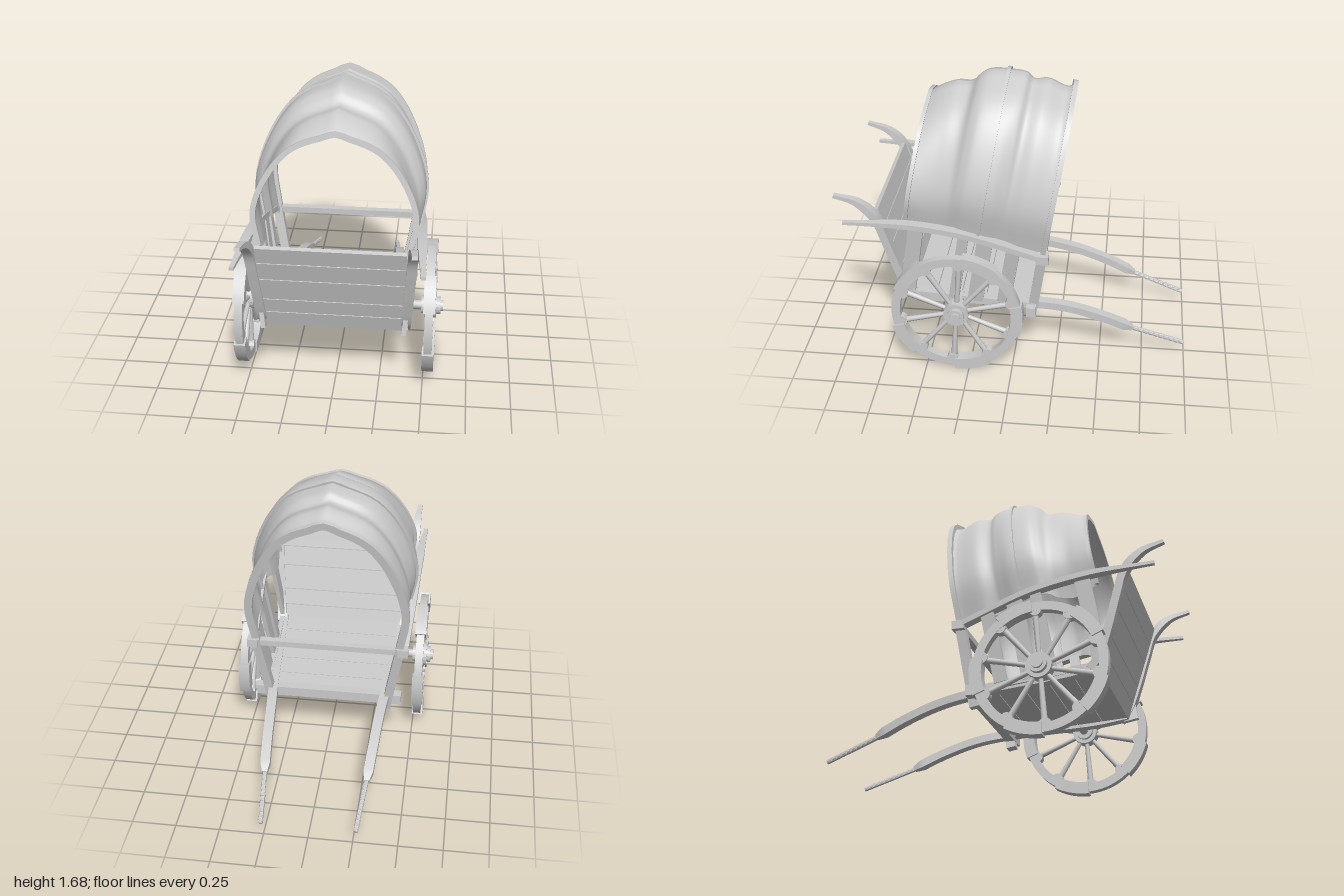
import * as THREE from 'three';

const mat = new THREE.MeshStandardMaterial({ color: 0xcccccc });
const clothMat = new THREE.MeshStandardMaterial({ color: 0xcccccc, side: THREE.DoubleSide });
const V = (x, y, z) => new THREE.Vector3(x, y, z);

function add(parent, name, geometry, x = 0, y = 0, z = 0, material = mat) {
  const m = new THREE.Mesh(geometry, material);
  m.name = name;
  m.position.set(x, y, z);
  parent.add(m);
  return m;
}

// Rectangular bar swept along points; w is measured along `side`, h across it.
// w and h may be numbers or functions of t.
function bar(points, w, h, segments = 16, side = V(1, 0, 0)) {
  const curve = new THREE.CatmullRomCurve3(points);
  const g = new THREE.BoxGeometry(1, 1, 1, 1, 1, segments);
  const p = g.attributes.position;
  const val = (f, t) => (typeof f === 'function' ? f(t) : f);
  for (let i = 0; i < p.count; i++) {
    const t = p.getZ(i) + 0.5;
    const T = curve.getTangent(t);
    const S = side.clone().addScaledVector(T, -side.dot(T)).normalize();
    const U = T.clone().cross(S);
    const q = curve.getPoint(t)
      .addScaledVector(S, p.getX(i) * val(w, t))
      .addScaledVector(U, p.getY(i) * val(h, t));
    p.setXYZ(i, q.x, q.y, q.z);
  }
  g.computeVertexNormals();
  return g;
}

// Canvas cover: cross-sections front to back as [apex z, apex y, base y, half width]
const LEAN = 0.16;
const sections = [
  [0.512, 1.515, 0.89, 0.44], [0.437, 1.56, 0.85, 0.435], [0.357, 1.59, 0.83, 0.43],
  [0.276, 1.59, 0.84, 0.44], [0.222, 1.64, 0.86, 0.46], [0.169, 1.665, 0.86, 0.478],
  [0.035, 1.665, 0.83, 0.478], [-0.035, 1.655, 0.80, 0.457], [-0.072, 1.62, 0.78, 0.447],
  [-0.153, 1.625, 0.77, 0.46], [-0.26, 1.58, 0.75, 0.45], [-0.303, 1.595, 0.74, 0.45],
];
const apexCurve = new THREE.CatmullRomCurve3(sections.map(s => V(s[0], s[1], 0)));
const baseCurve = new THREE.CatmullRomCurve3(sections.map(s => V(s[2], s[3], 0)));
const archCurve = new THREE.CatmullRomCurve3(
  [[0.93, 0], [1, 0.3], [0.83, 0.62], [0.53, 0.86], [0, 1]].map(([x, y]) => V(x, y, 0)));

function coverPoint(u, v) { // u: -1..1 across, v: 0..1 front to back
  const a = apexCurve.getPoint(v), b = baseCurve.getPoint(v);
  const c = archCurve.getPoint(1 - Math.abs(u));
  const y = b.x + (a.y - b.x) * c.y;
  return V(Math.sign(u) * c.x * b.y, y, a.x + LEAN * (a.y - y));
}

function buildCover(group) {
  const g = new THREE.PlaneGeometry(2, 1, 40, 66);
  const p = g.attributes.position;
  for (let i = 0; i < p.count; i++) {
    const q = coverPoint(p.getX(i), p.getY(i) + 0.5);
    p.setXYZ(i, q.x, q.y, q.z);
  }
  // the sheet runs front to back, so flip it to face outward
  const idx = g.index.array;
  for (let i = 0; i < idx.length; i += 3) [idx[i], idx[i + 1]] = [idx[i + 1], idx[i]];
  g.computeVertexNormals();
  add(group, 'canvasCover', g, 0, 0, 0, clothMat);

  [['frontHoop', 0, 0.022, 0.03], ['middleHoop', 5.75 / 11, 0.02, 0.025], ['rearHoop', 1, 0.028, 0.045]]
    .forEach(([name, v, w, h]) => {
      const pts = [];
      for (let i = 0; i <= 24; i++) pts.push(coverPoint(i / 12 - 1, v));
      add(group, name, bar(pts, w, h, 48, V(0, LEAN, 1)));
    });
}

// Arc-shaped felloe centred on the wheel
function felloe(r0, r1, a0, a1, depth) {
  const s = new THREE.Shape();
  s.absarc(0, 0, r1, a0, a1, false);
  s.absarc(0, 0, r0, a1, a0, true);
  return new THREE.ExtrudeGeometry(s, { depth, bevelEnabled: false, curveSegments: 10 })
    .translate(0, 0, -depth / 2);
}

function buildWheel(side) {
  const wheel = new THREE.Group();
  wheel.name = side > 0 ? 'leftWheel' : 'rightWheel';
  const rad = THREE.MathUtils.degToRad;
  for (let i = 0; i < 5; i++) {
    const mid = 4 + i * 72;
    add(wheel, 'felloe', felloe(0.322, 0.372, rad(mid - 21), rad(mid + 21), 0.045));
    add(wheel, 'ironBoundFelloe', felloe(0.315, 0.384, rad(mid + 20), rad(mid + 52), 0.065));
    // rounded swellings where the felloes meet
    [-17, 17].forEach(d => {
      const a = rad(mid + d);
      const g = new THREE.CylinderGeometry(0.034, 0.034, 0.043, 14).rotateX(Math.PI / 2);
      add(wheel, 'felloeJoint', g, 0.328 * Math.cos(a), 0.328 * Math.sin(a), 0);
    });
  }
  for (let i = 0; i < 10; i++) {
    const a = rad(22 + i * 36);
    const g = new THREE.CylinderGeometry(0.018, 0.013, 0.28, 8).translate(0, 0.19, 0);
    add(wheel, 'spoke', g).rotation.z = a - Math.PI / 2;
  }
  // hub profile, outer end up
  const hub = [[0, -0.05], [0.05, -0.05], [0.05, -0.03], [0.072, -0.03], [0.072, 0.035],
    [0.05, 0.035], [0.05, 0.06], [0.032, 0.06], [0.032, 0.075], [0, 0.075]]
    .map(([r, y]) => new THREE.Vector2(r, y));
  const hubMesh = add(wheel, 'hub', new THREE.LatheGeometry(hub, 20).toNonIndexed());
  hubMesh.geometry.computeVertexNormals();
  hubMesh.rotation.x = -side * Math.PI / 2;
  wheel.rotation.y = -Math.PI / 2;
  wheel.position.set(side * 0.527, 0.386, 0.317);
  return wheel;
}

function buildSide(group, s) {
  const path = list => list.map(([x, y, z]) => V(s * x, y, z));
  const smooth = THREE.MathUtils.smoothstep;

  // long pulling shaft with a slim bound grip
  const shaft = path([[0.385, 0.41, 0.6], [0.375, 0.385, 0.42], [0.345, 0.36, -0.02], [0.322, 0.327, -0.29],
    [0.308, 0.263, -0.5], [0.293, 0.18, -0.69]]);
  add(group, 'shaft', bar(shaft, t => 0.055 - 0.025 * smooth(t, 0.95, 1), t => 0.045 - 0.02 * smooth(t, 0.95, 1), 40));
  const a = V(s * 0.293, 0.182, -0.68), b = V(s * 0.265, 0.073, -0.995);
  add(group, 'shaftGrip', bar([a, b], 0.02, 0.02, 1));
  const dir = b.clone().sub(a).normalize();
  for (let i = 0; i < 10; i++) {
    const c = a.clone().lerp(b, 0.08 + i * 0.097);
    const ring = add(group, 'gripBinding', new THREE.CylinderGeometry(0.014, 0.012, 0.022, 8), c.x, c.y, c.z);
    ring.quaternion.setFromUnitVectors(V(0, 1, 0), dir);
  }

  // curved top rail
  const rail = path([[0.495, 0.925, 0.945], [0.475, 0.917, 0.57], [0.465, 0.865, 0.25],
    [0.45, 0.777, -0.02], [0.44, 0.72, -0.18]]);
  add(group, 'topRail', bar(rail, t => 0.025 + 0.03 * smooth(t, 0, 0.25), t => 0.018 + 0.014 * smooth(t, 0, 0.3), 28));

  // curved arm holding the end board
  const arm = path([[0.45, 1.07, 0.997], [0.442, 1.03, 0.87], [0.435, 0.935, 0.775], [0.425, 0.783, 0.722],
    [0.412, 0.595, 0.665], [0.402, 0.45, 0.61], [0.395, 0.395, 0.56]]);
  add(group, 'endArm', bar(arm, t => 0.03 + 0.025 * smooth(t, 0, 0.3), t => 0.02 + 0.025 * smooth(t, 0, 0.3), 36));
  add(group, 'armPeg', new THREE.CylinderGeometry(0.01, 0.01, 0.02, 10).rotateX(Math.PI / 2), s * 0.404, 0.44, 0.64);

  // leaning side slats: top z, top y, width
  [[0.54, 0.91, 0.085], [0.275, 0.865, 0.06], [0.155, 0.83, 0.09], [0.0, 0.775, 0.075]].forEach(([z, y, w]) => {
    const bottom = V(s * 0.39, 0.385, z + LEAN * (y - 0.385));
    add(group, 'sideSlat', bar([bottom, V(s * 0.45, y, z)], 0.025, w, 1));
  });

  // rear corner post with its joint block, and the floor's edge beam
  add(group, 'rearPost', bar([V(s * 0.35, 0.27, -0.095), V(s * 0.36, 0.36, -0.11), V(s * 0.425, 0.75, -0.165)], 0.05, 0.055, 8));
  add(group, 'railBlock', new THREE.BoxGeometry(0.06, 0.05, 0.07), s * 0.44, 0.725, -0.165);
  add(group, 'floorBeam', bar([V(s * 0.395, 0.415, 0.6), V(s * 0.375, 0.36, -0.12)], 0.03, 0.035, 1));

  // axle stub
  add(group, 'axle', new THREE.CylinderGeometry(0.025, 0.025, 0.2, 14).rotateZ(Math.PI / 2), s * 0.44, 0.386, 0.317);
  group.add(buildWheel(s));
}

export function createModel() {
  const group = new THREE.Group();
  group.name = 'coveredCart';

  // floor planks laid across
  for (let i = 0; i < 5; i++) {
    const t = (i + 0.5) / 5;
    const plank = add(group, 'floorPlank', new THREE.BoxGeometry(0.77, 0.022, 0.141), 0, 0.405 - 0.05 * t, 0.6 - 0.72 * t);
    plank.rotation.x = -0.07;
  }

  // end board planks, leaning outward
  const edges = [0.39, 0.49, 0.59, 0.74, 0.86, 0.968];
  for (let i = 0; i < 5; i++) {
    const y = (edges[i] + edges[i + 1]) / 2, h = (edges[i + 1] - edges[i]) * 1.045 - 0.005;
    const plank = add(group, 'endBoardPlank', new THREE.BoxGeometry(0.78 + 0.05 * (y - 0.4), h, 0.025), 0, y, 0.6 + 0.31 * (y - 0.4));
    plank.rotation.x = 0.3;
  }

  // rear crossbars
  add(group, 'lowerCrossbar', new THREE.BoxGeometry(0.87, 0.06, 0.055), 0, 0.342, -0.1);
  add(group, 'upperCrossbar', new THREE.BoxGeometry(0.9, 0.035, 0.04), 0, 0.725, -0.165);

  [1, -1].forEach(s => buildSide(group, s));
  buildCover(group);
  return group;
}
